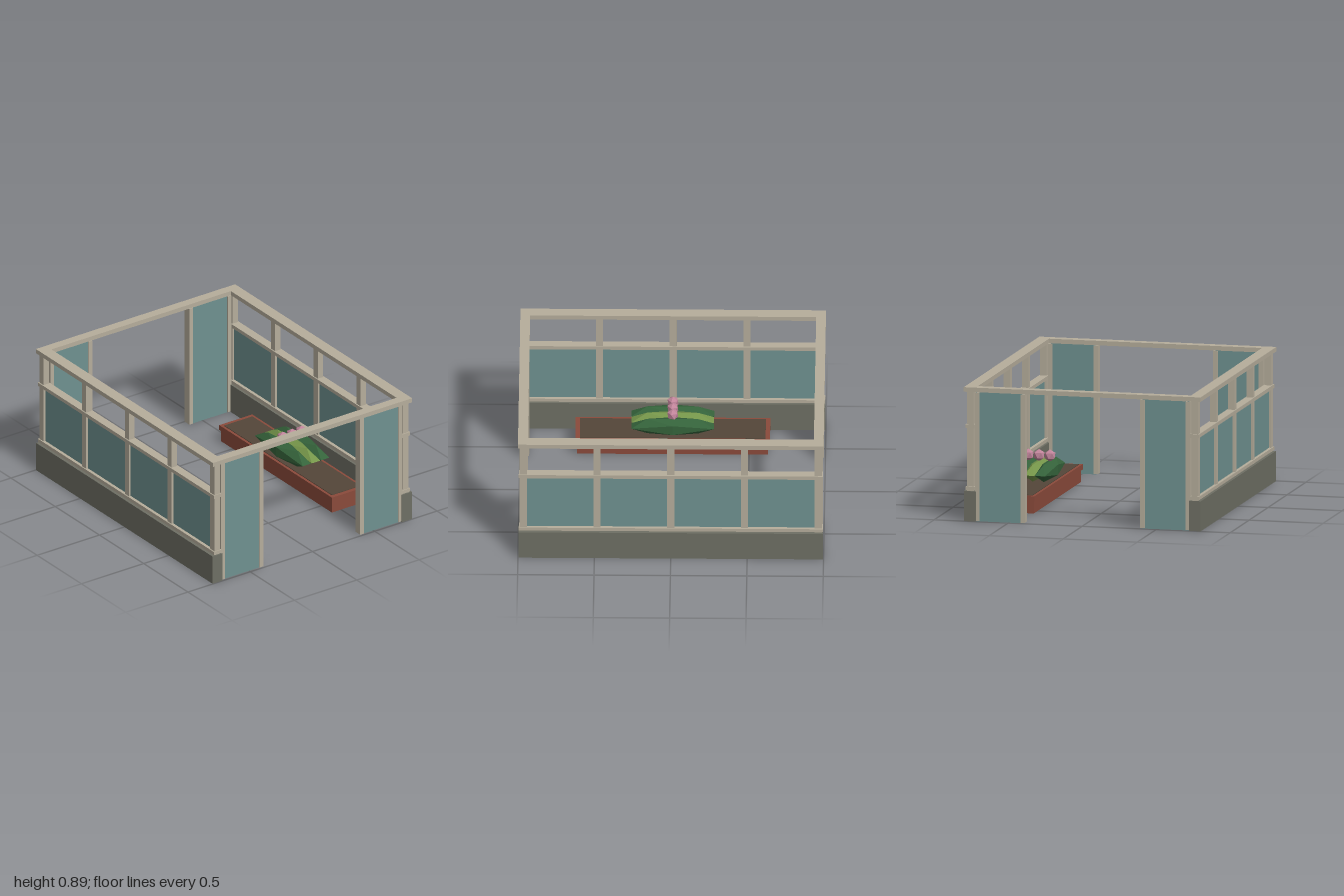
import * as THREE from 'three';

const mat = (name, color) => {
  const m = new THREE.MeshStandardMaterial({ color });
  m.name = name;
  return m;
};

export function createModel() {
  const frameMat = mat('beige frame', 0xb5ad9b);
  const glassMat = mat('teal glass', 0x6f9190);
  const wallMat = mat('grey wall', 0x6e6f64);
  const planterMat = mat('terracotta', 0x8a4a3b);
  const soilMat = mat('soil', 0x544639);
  const leafMat = mat('dark leaf', 0x35633b);
  const lightLeafMat = mat('light leaf', 0x76964a);
  const flowerMat = mat('pink flower', 0xc0849a);
  for (const m of [leafMat, lightLeafMat, flowerMat]) m.flatShading = true;

  const model = new THREE.Group();
  model.name = 'glazedShelter';

  // box given by its ranges on each axis
  const box = (parent, name, m, [x0, x1], [y0, y1], [z0, z1]) => {
    const mesh = new THREE.Mesh(new THREE.BoxGeometry(Math.abs(x1 - x0), y1 - y0, z1 - z0), m);
    mesh.position.set((x0 + x1) / 2, (y0 + y1) / 2, (z0 + z1) / 2);
    mesh.name = name;
    parent.add(mesh);
    return mesh;
  };
  // box given by centre and width on x and z
  const about = (c, w) => [c - w / 2, c + w / 2];

  // low-poly leaf clump: long axis along z, flat-edged ends
  const leafGeo = new THREE.IcosahedronGeometry(1, 0);
  leafGeo.rotateX(Math.PI / 2);
  leafGeo.scale(0.064, 0.066, 0.318);
  // flower bud with one corner pointing up
  const flowerGeo = new THREE.IcosahedronGeometry(0.04, 0);
  flowerGeo.rotateX(-1.017);

  for (const s of [-1, 1]) {
    const side = new THREE.Group();
    side.name = s > 0 ? 'leftSide' : 'rightSide';
    model.add(side);
    const sx = (a, b) => (s > 0 ? [a, b] : [-b, -a]);

    // low wall, posts, rails and glazing
    box(side, 'baseWall', wallMat, sx(0.72, 0.8), [0, 0.2], [-0.997, 0.997]);
    const posts = [-0.965, -0.4825, 0, 0.4825, 0.965];
    posts.forEach((z) => box(side, 'post', frameMat, sx(0.736, 0.78), [0.2, 0.862], about(z, 0.047)));
    box(side, 'lowerRail', frameMat, sx(0.728, 0.788), [0.206, 0.229], [-0.995, 0.995]);
    box(side, 'middleRail', frameMat, sx(0.728, 0.788), [0.618, 0.643], [-0.995, 0.995]);
    for (let i = 0; i < 4; i++) {
      box(side, 'sideGlass', glassMat, sx(0.75, 0.766), [0.229, 0.618], [posts[i] + 0.0235, posts[i + 1] - 0.0235]);
    }
    box(side, 'sideTopBeam', frameMat, sx(0.72, 0.8), [0.86, 0.89], [-0.936, 0.936]);

    // full-height panels beside the front and back openings
    for (const z of [-0.965, 0.965]) {
      box(side, 'endPanel', glassMat, sx(0.402, 0.72), [0, 0.862], about(z, 0.035));
      for (const x of [0.404, 0.712]) {
        box(side, 'panelStile', frameMat, sx(x - 0.015, x + 0.015), [0.004, 0.855], about(z, 0.053));
      }
    }

    // planter trough with rim and soil
    const planter = new THREE.Group();
    planter.name = 'planter';
    planter.position.x = s * 0.547;
    side.add(planter);
    box(planter, 'trough', planterMat, about(0, 0.25), [0.004, 0.09], about(0, 1.25));
    box(planter, 'rim', planterMat, about(0, 0.265), [0.085, 0.12], about(0, 1.274));
    box(planter, 'soil', soilMat, about(0, 0.226), [0.11, 0.124], about(0, 1.216));

    // three leaf clumps, each topped with a flower
    for (const i of [-1, 0, 1]) {
      const leaf = new THREE.Mesh(leafGeo, i === 0 ? lightLeafMat : leafMat);
      leaf.name = 'leafClump';
      leaf.position.set(i * 0.074, 0.19, 0);
      const flower = new THREE.Mesh(flowerGeo, flowerMat);
      flower.name = 'flower';
      flower.position.set(i * 0.074, 0.282, 0);
      planter.add(leaf, flower);
    }
  }

  // beams across the front and back
  box(model, 'frontTopBeam', frameMat, [-0.8, 0.8], [0.86, 0.89], [0.936, 1]);
  box(model, 'backTopBeam', frameMat, [-0.8, 0.8], [0.86, 0.89], [-1, -0.936]);

  return model;
}
